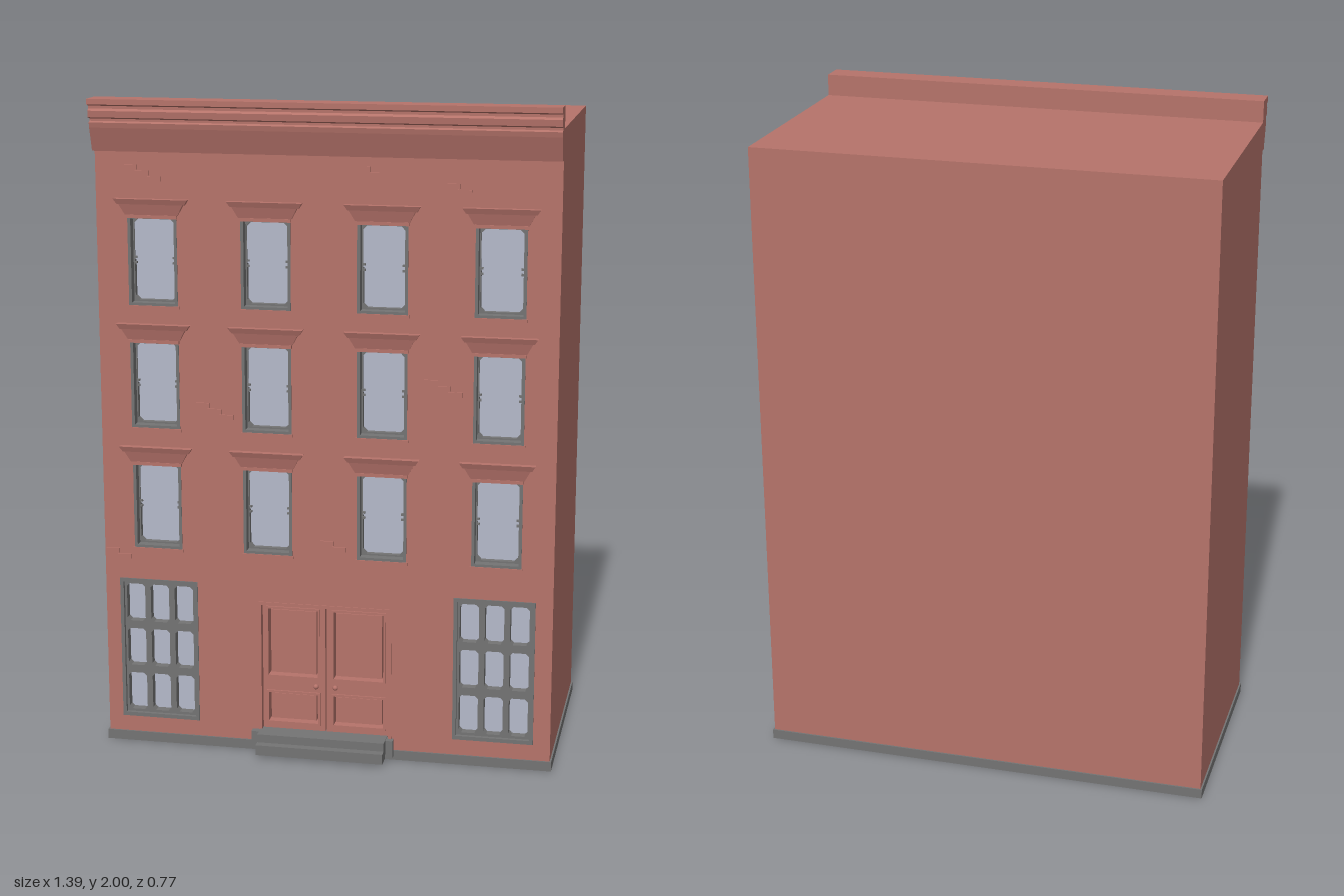
import * as THREE from 'three';

const mat = (name, color) => {
  const m = new THREE.MeshStandardMaterial({ color });
  m.name = name;
  return m;
};

export function createModel() {
  const brick = mat('brick red', 0xb5736a);
  const stone = mat('stone grey', 0x747474);
  const glass = mat('pale glass', 0xb4b9ca);
  const root = new THREE.Group();
  root.name = 'townhouse';
  const FACE = 0.31, INNER = 0.262;

  const add = (parent, name, geo, material) => {
    const mesh = new THREE.Mesh(geo, material);
    mesh.name = name;
    parent.add(mesh);
    return mesh;
  };
  // Box given by its limits
  const box = (parent, name, material, x0, x1, y0, y1, z0, z1) => {
    const m = add(parent, name, new THREE.BoxGeometry(x1 - x0, y1 - y0, z1 - z0), material);
    m.position.set((x0 + x1) / 2, (y0 + y1) / 2, (z0 + z1) / 2);
    return m;
  };
  // Rectangle outline, optionally with cut corners
  const outline = (x0, x1, y0, y1, c = 0) => {
    const pts = c
      ? [[x0 + c, y0], [x1 - c, y0], [x1, y0 + c], [x1, y1 - c], [x1 - c, y1], [x0 + c, y1], [x0, y1 - c], [x0, y0 + c]]
      : [[x0, y0], [x1, y0], [x1, y1], [x0, y1]];
    return pts.map(([x, y]) => new THREE.Vector2(x, y));
  };
  // Plate with openings, from z0 to z1
  const plate = (parent, name, material, rect, holes, z0, z1) => {
    const s = new THREE.Shape(outline(...rect));
    holes.forEach(h => s.holes.push(new THREE.Path(outline(...h))));
    const geo = new THREE.ExtrudeGeometry(s, { depth: z1 - z0, bevelEnabled: false });
    geo.translate(0, 0, z0);
    return add(parent, name, geo, material);
  };
  // Moulding that flares out towards its top, flat against the facade
  const flare = (parent, name, material, x, y0, y1, w0, w1, d0, d1) => {
    const geo = new THREE.BoxGeometry(1, 1, 1);
    const p = geo.attributes.position;
    for (let i = 0; i < p.count; i++) {
      const top = p.getY(i) > 0;
      p.setXYZ(i, x + p.getX(i) * (top ? w1 : w0), top ? y1 : y0,
        p.getZ(i) > 0 ? FACE + (top ? d1 : d0) : FACE - 0.005);
    }
    geo.computeVertexNormals();
    return add(parent, name, geo, material);
  };

  const columns = [-0.52, -0.177, 0.172, 0.518];
  const floors = [0.63, 1.008, 1.383];
  const shopX = [-0.522, 0.515];
  const winHole = (x, y) => [x - 0.075, x + 0.075, y, y + 0.27];
  const shopHole = x => [x - 0.123, x + 0.123, 0.08, 0.53];
  const doorHole = [-0.21, 0.205, 0.04, 0.48];

  // Building body and pierced front wall
  box(root, 'buildingBody', brick, -0.69, 0.69, 0.03, 1.935, -0.38, INNER);
  const openings = [doorHole, ...shopX.map(shopHole)];
  columns.forEach(x => floors.forEach(y => openings.push(winHole(x, y))));
  plate(root, 'frontWall', brick, [-0.69, 0.69, 0.03, 1.935], openings, INNER, FACE);
  box(root, 'plinth', stone, -0.695, 0.695, 0, 0.03, -0.385, 0.315);

  // Roof cornice, a moulded section running along the front
  const section = [[0.3, 1.845], [0.335, 1.845], [0.357, 1.915], [0.36, 1.93], [0.35, 1.934], [0.35, 1.941],
    [0.368, 1.946], [0.37, 1.965], [0.36, 1.971], [0.36, 1.979], [0.378, 1.984], [0.378, 2], [0.3, 2]];
  const cornice = new THREE.ExtrudeGeometry(
    new THREE.Shape(section.map(([z, y]) => new THREE.Vector2(z, y))), { depth: 1.38, bevelEnabled: false });
  cornice.rotateY(-Math.PI / 2).translate(0.69, 0, 0);
  add(root, 'cornice', cornice, brick);

  // Upper sash windows with flared hoods
  columns.forEach(x => floors.forEach(y => {
    const g = new THREE.Group();
    g.name = 'sashWindow';
    root.add(g);
    const [x0, x1, y0, y1] = winHole(x, y);
    const mid = y + 0.135;
    plate(g, 'windowFrame', stone, [x0, x1, y0, y1], [[x0 + 0.009, x1 - 0.009, y0 + 0.01, y1 - 0.008]], INNER, 0.312);
    plate(g, 'innerFrame', stone, [x0 + 0.008, x1 - 0.008, y0 + 0.009, y1 - 0.007],
      [[x0 + 0.013, x1 - 0.013, y0 + 0.015, y1 - 0.012, 0.012]], INNER, 0.285);
    box(g, 'lowerGlass', glass, x0 + 0.009, x1 - 0.009, y0 + 0.01, mid, INNER, 0.268);
    box(g, 'upperGlass', glass, x0 + 0.009, x1 - 0.009, mid, y1 - 0.008, INNER, 0.28);
    [-1, 1].forEach(s => [-0.008, 0.008].forEach(dy =>
      box(g, 'sashCatch', stone, x + s * 0.06 - 0.005, x + s * 0.06 + 0.005, mid + dy - 0.003, mid + dy + 0.003, 0.28, 0.288)));
    flare(g, 'hoodBase', brick, x, y + 0.264, y + 0.274, 0.155, 0.155, 0.01, 0.01);
    flare(g, 'hoodFlare', brick, x, y + 0.274, y + 0.306, 0.16, 0.195, 0.008, 0.016);
    flare(g, 'hoodCap', brick, x, y + 0.306, y + 0.322, 0.205, 0.225, 0.016, 0.022);
    box(g, 'sill', brick, x0 - 0.004, x1 + 0.004, y - 0.007, y + 0.002, 0.3, 0.315);
  }));

  // Ground floor windows with nine panes
  shopX.forEach(x => {
    const g = new THREE.Group();
    g.name = 'paneledWindow';
    root.add(g);
    const panes = [];
    for (const i of [-1, 0, 1]) for (const j of [-1, 0, 1]) {
      const cx = x + i * 0.076, cy = 0.305 + j * 0.145;
      panes.push([cx - 0.029, cx + 0.029, cy - 0.06, cy + 0.06, 0.009]);
    }
    const rect = shopHole(x);
    plate(g, 'windowGrid', stone, rect, panes, 0.275, 0.302);
    plate(g, 'windowFrame', stone, rect, [[x - 0.112, x + 0.112, 0.092, 0.518]], INNER, 0.313);
    box(g, 'windowGlass', glass, x - 0.12, x + 0.12, 0.084, 0.526, INNER, 0.27);
  });

  // Double door: leaves with sunk, bordered panels and knobs
  const doors = new THREE.Group();
  doors.name = 'doubleDoor';
  root.add(doors);
  const cx = -0.002;
  plate(doors, 'doorCasing', brick, doorHole, [[-0.2, 0.195, 0.04, 0.47]], INNER, 0.313);
  [-1, 1].forEach(s => {
    const a = cx + s * 0.002, b = cx + s * 0.197;
    const p = [cx + s * 0.018, cx + s * 0.186].sort((m, n) => m - n);
    const panels = [[...p, 0.085, 0.192], [...p, 0.235, 0.463]];
    plate(doors, 'doorLeaf', brick, [Math.min(a, b), Math.max(a, b), 0.04, 0.47], panels, INNER, 0.295);
    panels.forEach(([x0, x1, y0, y1]) => {
      plate(doors, 'panelBorder', brick, [x0, x1, y0, y1], [[x0 + 0.007, x1 - 0.007, y0 + 0.007, y1 - 0.007]], INNER, 0.3);
      box(doors, 'doorPanel', brick, x0 + 0.013, x1 - 0.013, y0 + 0.013, y1 - 0.013, INNER, 0.287);
    });
    const knob = add(doors, 'doorKnob', new THREE.SphereGeometry(0.008, 12, 8), brick);
    knob.position.set(cx + s * 0.03, 0.214, 0.302);
  });

  // Entrance steps
  box(root, 'lowerStep', stone, -0.205, 0.19, 0.01, 0.042, 0.3, 0.385);
  box(root, 'upperStep', stone, -0.205, 0.19, 0.042, 0.068, INNER, 0.36);
  [-0.218, 0.2].forEach(x => box(root, 'stepCheek', stone, x - 0.012, x + 0.012, 0.01, 0.066, 0.3, 0.332));

  // Staggered raised bricks scattered over the wall
  const raised = [[-0.55, 1.79, 3], [0.13, 1.8, 2], [0.39, 1.757, 2], [-0.34, 1.08, 3], [0.35, 1.18, 3],
    [-0.65, 0.61, 2], [0.02, 0.67, 2]];
  raised.forEach(([x, y, n]) => {
    for (let i = 0; i < n; i++) {
      const bx = x + (i - n / 2) * 0.036, by = y - i * 0.017;
      box(root, 'raisedBrick', brick, bx, bx + 0.042, by, by + 0.015, 0.3, 0.315);
    }
  });
  return root;
}
